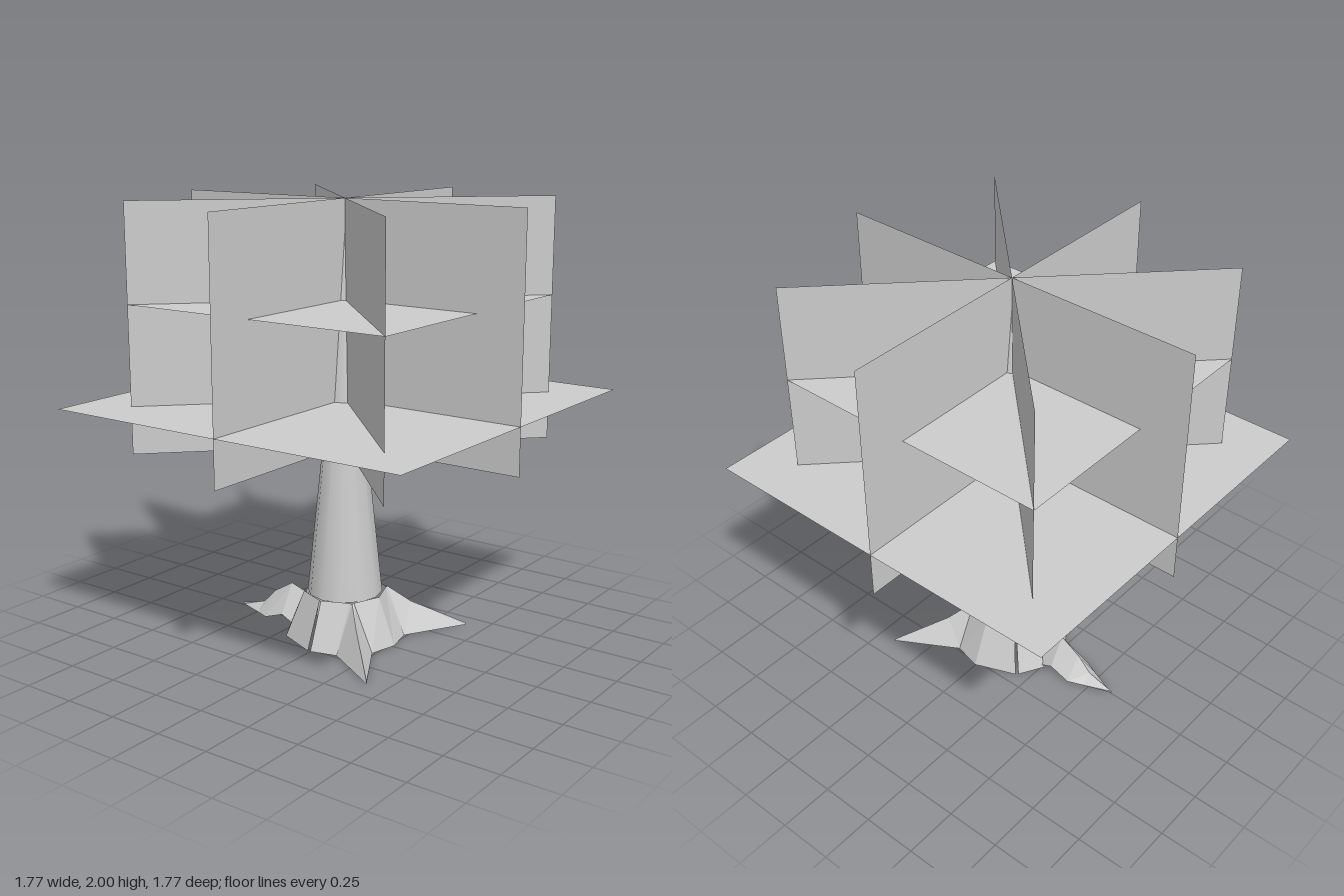
import * as THREE from 'three';

const smooth = new THREE.MeshStandardMaterial({ color: 0xcccccc, side: THREE.DoubleSide });
const flat = new THREE.MeshStandardMaterial({ color: 0xcccccc, side: THREE.DoubleSide, flatShading: true });

// Skins a surface over rows of points; every row has the same length.
function loft(rows) {
  const n = rows[0].length, index = [];
  for (let i = 0; i < rows.length - 1; i++) {
    for (let j = 0; j < n - 1; j++) {
      const a = i * n + j, b = a + 1, c = a + n, d = c + 1;
      index.push(a, c, b, b, c, d);
    }
  }
  const g = new THREE.BufferGeometry();
  g.setAttribute('position', new THREE.Float32BufferAttribute(rows.flat(2), 3));
  g.setIndex(index);
  g.computeVertexNormals();
  return g;
}

// Point on a ring; angle in degrees from +z towards +x.
function ring(radius, y, deg) {
  const a = THREE.MathUtils.degToRad(deg);
  return [radius * Math.sin(a), y, radius * Math.cos(a)];
}

export function createModel() {
  const model = new THREE.Group();
  const add = (parent, name, geometry, material) => {
    const mesh = new THREE.Mesh(geometry, material);
    mesh.name = name;
    parent.add(mesh);
    return mesh;
  };

  // Foliage: four crossed upright cards and two level ones
  const foliage = new THREE.Group();
  foliage.name = 'foliage';
  model.add(foliage);
  for (let i = 0; i < 4; i++) {
    const width = i % 2 ? 2 * 0.665 * Math.SQRT2 : 1.77;
    const card = add(foliage, 'uprightLeafCard', new THREE.PlaneGeometry(width, 1.1), smooth);
    card.position.y = 1.45;
    card.rotation.y = i * Math.PI / 4;
  }
  for (const [size, y] of [[1.77, 1.114], [1.33, 1.56]]) {
    const card = add(foliage, 'levelLeafCard', new THREE.PlaneGeometry(size, size), smooth);
    card.rotation.x = -Math.PI / 2;
    card.position.y = y;
  }

  // Trunk: an open tapering cone
  const trunk = add(model, 'trunk', new THREE.ConeGeometry(0.172, 1.65, 12, 1, true), smooth);
  trunk.position.y = 0.215 + 1.65 / 2;

  // Flared panels round the foot: top start, top end, bottom start, bottom end
  const foot = new THREE.Group();
  foot.name = 'trunkFoot';
  model.add(foot);
  const panels = [
    [-45, -1, -45, -1.5], [1, 42, 1.5, 28],
    [48, 90, 62, 90], [90, 132, 90, 118],
    [138, 180, 152, 180], [180, 224, 180, 223.5],
    [226, 258, 226.5, 254], [282, 315, 286, 315],
  ];
  for (const [t0, t1, b0, b1] of panels) {
    add(foot, 'footPanel', loft([
      [ring(0.19, 0.22, t0), ring(0.19, 0.22, t1)],
      [ring(0.275, 0.005, b0), ring(0.275, 0.005, b1)],
    ]), flat);
  }

  // Two straight roots, ridged and pointed
  const roots = new THREE.Group();
  roots.name = 'roots';
  model.add(roots);
  for (const deg of [45, 135]) {
    add(roots, 'straightRoot', loft([
      [ring(0.19, 0.22, deg - 3), ring(0.2, 0.22, deg), ring(0.19, 0.22, deg + 3)],
      [ring(0.275, 0.005, deg - 17), ring(0.31, 0.14, deg), ring(0.275, 0.005, deg + 17)],
      [ring(0.575, 0.005, deg), ring(0.575, 0.015, deg), ring(0.575, 0.005, deg)],
    ]), flat);
  }

  // Humped root: x, ridge height, base height, half width
  const ribs = [
    [-0.19, 0.21, 0.19, 0.04], [-0.215, 0.15, 0.0, 0.08],
    [-0.31, 0.18, 0.045, 0.08], [-0.41, 0.12, 0.01, 0.08],
    [-0.48, 0.05, 0.008, 0.05], [-0.61, 0.015, 0.005, 0],
  ];
  add(roots, 'humpedRoot', loft(ribs.map(([x, top, base, w]) => [
    [x, base, w], [x, top, 0], [x, base, -w],
  ])), flat);

  return model;
}
